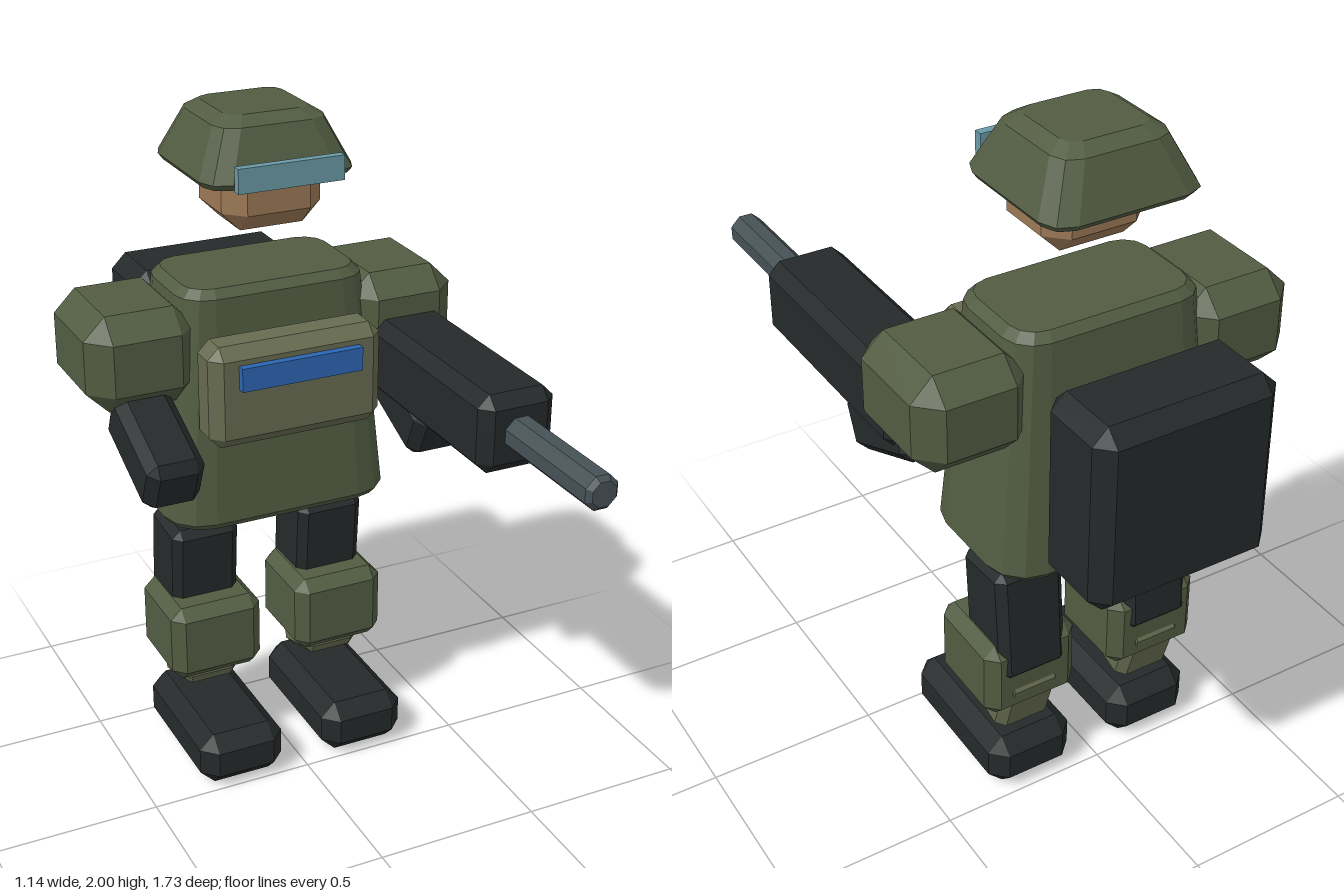
import * as THREE from 'three';
import { ConvexGeometry } from 'three/addons/geometries/ConvexGeometry.js';

const paint = (color) => new THREE.MeshStandardMaterial({ color, flatShading: true, roughness: 0.9 });

const olive = paint(0x525c42);
const khaki = paint(0x676b50);
const dark = paint(0x25292a);
const skin = paint(0x9c7856);
const glass = paint(0x6a9aa6);
const blue = paint(0x2c66b2);
const steel = paint(0x465156);

// Rectangle outline at height y: half sizes a and b, corners cut by r in n steps
function ring(y, a, b, r = 0, n = 1) {
  const points = [];
  for (const [sx, sz] of [[1, 1], [-1, 1], [-1, -1], [1, -1]]) {
    if (r === 0) {
      points.push(new THREE.Vector3(sx * a, y, sz * b));
      continue;
    }
    for (let i = 0; i <= n; i++) {
      const t = (i / n) * Math.PI / 2;
      points.push(new THREE.Vector3(sx * (a - r + r * Math.cos(t)), y, sz * (b - r + r * Math.sin(t))));
    }
  }
  return points;
}

// Box with every edge cut at 45 degrees by c
function chamferBox(w, h, d, c) {
  const a = w / 2, b = d / 2, y = h / 2;
  return new ConvexGeometry([
    ...ring(-y, a - c, b - c),
    ...ring(-y + c, a, b, c),
    ...ring(y - c, a, b, c),
    ...ring(y, a - c, b - c),
  ]);
}

export function createModel() {
  const model = new THREE.Group();
  model.name = 'trooper';

  function add(name, geometry, material, x, y, z, tilt = 0) {
    const mesh = new THREE.Mesh(geometry, material);
    mesh.name = name;
    mesh.position.set(x, y, z);
    mesh.rotation.x = tilt;
    model.add(mesh);
    return mesh;
  }

  // Flared coat
  add('torso', new ConvexGeometry([
    ...ring(0.815, 0.335, 0.21, 0.11, 3),
    ...ring(0.835, 0.35, 0.225, 0.12, 3),
    ...ring(1.505, 0.285, 0.172, 0.09, 3),
    ...ring(1.53, 0.26, 0.15, 0.07, 3),
  ]), olive, 0, 0, -0.35);

  // Chest armour with its stripe
  add('chestPlate', chamferBox(0.53, 0.305, 0.14, 0.035), khaki, 0, 1.253, -0.118);
  add('chestStripe', new THREE.BoxGeometry(0.37, 0.07, 0.028), blue, 0, 1.32, -0.038);

  // Head, helmet and visor
  add('head', chamferBox(0.3, 0.27, 0.27, 0.055), skin, 0, 1.81, -0.315);
  add('helmet', new ConvexGeometry([
    ...ring(1.822, 0.215, 0.207, 0.06, 2),
    ...ring(1.84, 0.228, 0.222, 0.07, 2),
    ...ring(1.975, 0.165, 0.16, 0.06, 2),
    ...ring(2.0, 0.125, 0.12, 0.04, 2),
  ]), olive, 0, 0, -0.352);
  add('visor', new THREE.BoxGeometry(0.315, 0.07, 0.026), glass, 0, 1.86, -0.108);

  add('backpack', chamferBox(0.545, 0.555, 0.27, 0.045), dark, 0, 1.167, -0.73);

  // Limbs, mirrored
  for (const [side, s] of [['left', 1], ['right', -1]]) {
    add(side + 'Shoulder', chamferBox(0.33, 0.285, 0.38, 0.065), olive, s * 0.405, 1.348, -0.352);
    add(side + 'Forearm', chamferBox(0.17, 0.17, 0.34, 0.03), dark, s * 0.41, 1.126, -0.122, 0.41);
    add(side + 'Thigh', chamferBox(0.21, 0.36, 0.205, 0.025), dark, s * 0.207, 0.58, -0.372, 0.08);
    add(side + 'Knee', chamferBox(0.29, 0.245, 0.292, 0.035), olive, s * 0.205, 0.402, -0.33);
    add(side + 'Shin', chamferBox(0.18, 0.22, 0.19, 0.025), khaki, s * 0.207, 0.306, -0.366, -0.3);
    add(side + 'Boot', chamferBox(0.268, 0.17, 0.485, 0.045), dark, s * 0.203, 0.087, -0.242);
  }

  // Heavy gun on the left arm, with an eight-sided barrel
  add('gunBody', chamferBox(0.232, 0.23, 0.74, 0.035), dark, 0.407, 1.25, 0.097);
  const profile = [[0, 0], [0.052, 0], [0.052, 0.43], [0.038, 0.444], [0, 0.444]]
    .map(([r, y]) => new THREE.Vector2(r, y));
  const barrel = new THREE.LatheGeometry(profile, 8);
  barrel.rotateY(Math.PI / 8);
  add('gunBarrel', barrel, steel, 0.407, 1.252, 0.42, Math.PI / 2);

  return model;
}
